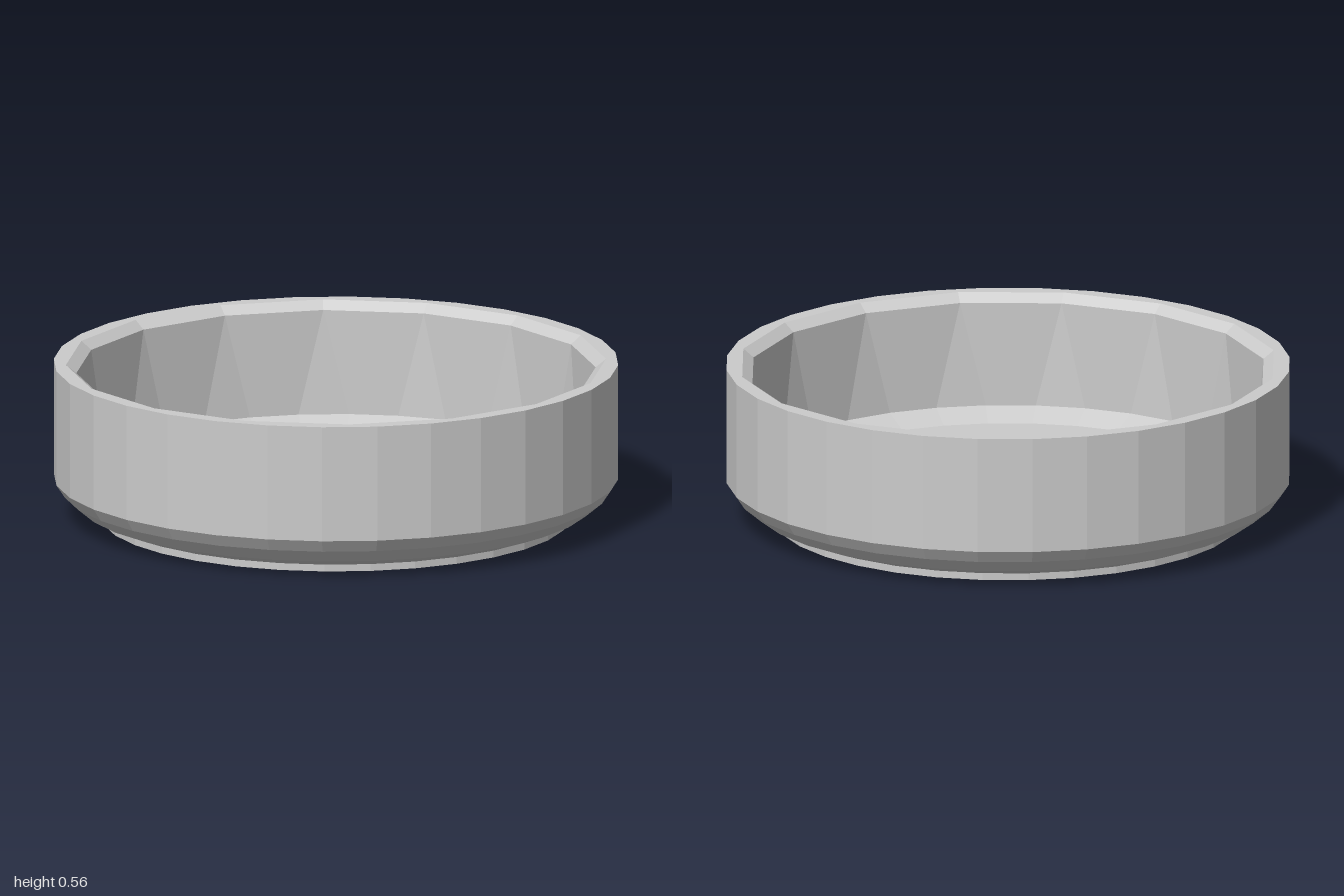
import * as THREE from 'three';

const SIDES = 32;
const material = new THREE.MeshStandardMaterial({ color: 0xcccccc, flatShading: true });

// One ring of points; a coarse ring has half the sides, each corner used twice
function ring([r, y, coarse]) {
  const points = [];
  for (let i = 0; i < SIDES; i++) {
    const step = coarse ? Math.floor(i / 2) * 2 + 0.5 : i;
    const a = (step / SIDES) * Math.PI * 2;
    points.push(new THREE.Vector3(r * Math.cos(a), y, r * Math.sin(a)));
  }
  return points;
}

// Skin between successive rings, leaving out collapsed triangles
function loft(name, profile) {
  const rings = profile.map(ring);
  const vertices = [];
  const triangle = (a, b, c) => {
    if (a.equals(b) || b.equals(c) || c.equals(a)) return;
    for (const p of [a, b, c]) vertices.push(p.x, p.y, p.z);
  };
  for (let k = 0; k < rings.length - 1; k++) {
    for (let i = 0; i < SIDES; i++) {
      const j = (i + 1) % SIDES;
      triangle(rings[k][i], rings[k + 1][i], rings[k][j]);
      triangle(rings[k][j], rings[k + 1][i], rings[k + 1][j]);
    }
  }
  const geometry = new THREE.BufferGeometry();
  geometry.setAttribute('position', new THREE.Float32BufferAttribute(vertices, 3));
  geometry.computeVertexNormals();
  const mesh = new THREE.Mesh(geometry, material);
  mesh.name = name;
  return mesh;
}

export function createModel() {
  const group = new THREE.Group();
  group.name = 'shallowDish';

  // Profiles are [radius, height, coarse], running from under the base, up and over the rim
  group.add(
    loft('recessedBase', [[0, 0.085], [0.77, 0.085]]),
    loft('footRing', [[0.77, 0.085], [0.8, 0.03], [0.815, 0], [0.83, 0], [0.83, 0.025]]),
    loft('curvedUnderside', [[0.83, 0.025], [0.91, 0.055], [0.97, 0.105], [1, 0.15]]),
    loft('outerWall', [[1, 0.15], [1, 0.565]]),
    loft('rim', [[1, 0.565], [0.957, 0.565, true], [0.92, 0.535, true]]),
    loft('innerWall', [[0.92, 0.535, true], [0.905, 0.16]]),
    loft('floorSlope', [[0.905, 0.16], [0.81, 0.12]]),
    loft('floor', [[0.81, 0.12], [0, 0.12]])
  );
  return group;
}
